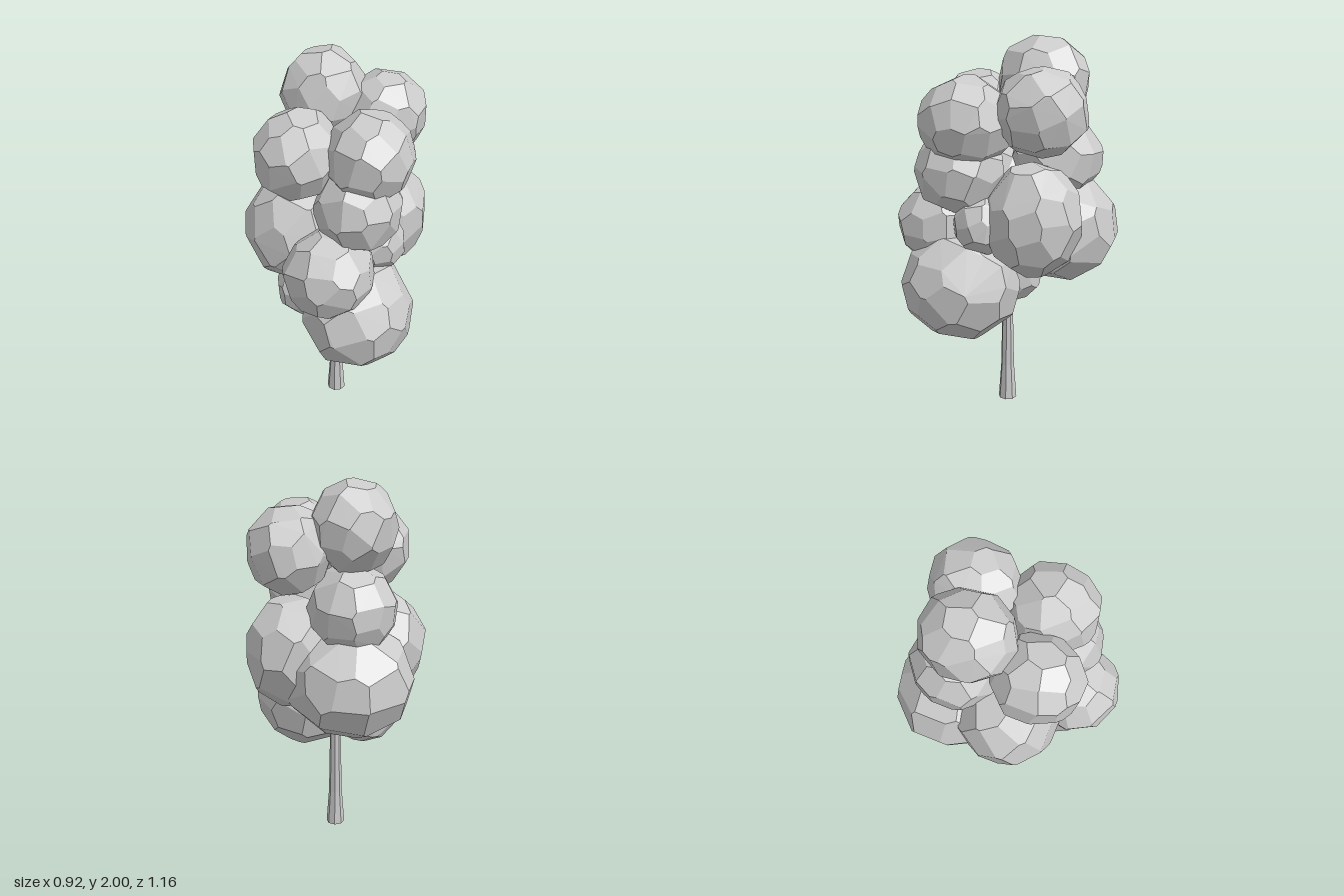
import * as THREE from 'three';
import { ConvexGeometry } from 'three/addons/geometries/ConvexGeometry.js';

const material = new THREE.MeshStandardMaterial({ color: 0xcccccc, flatShading: true });

function seeded(seed) {
  let s = seed * 7919 + 17;
  return () => (s = (s * 16807) % 2147483647) / 2147483647;
}

// Faceted leaf clump: an ellipsoid cut by evenly spread, jittered planes into flat many-sided faces
function clumpGeometry(seed, rx, ry, rz, planes) {
  const rand = seeded(seed);
  const turn = new THREE.Euler(rand() * 6, rand() * 6, rand() * 6);
  const normals = [];
  for (let i = 0; i < planes; i++) {
    const y = 1 - (2 * i + 1) / planes;
    const ring = Math.sqrt(1 - y * y);
    const a = i * Math.PI * (3 - Math.sqrt(5));
    const p = new THREE.Vector3(Math.cos(a) * ring, y, Math.sin(a) * ring);
    p.x += (rand() - 0.5) * 0.28;
    p.y += (rand() - 0.5) * 0.28;
    p.z += (rand() - 0.5) * 0.28;
    normals.push(p.normalize().applyEuler(turn));
  }
  // Each triangle between three plane normals gives the corner where those planes meet
  const corners = [];
  const hull = new ConvexGeometry(normals).attributes.position;
  const tri = new THREE.Triangle();
  for (let i = 0; i < hull.count; i += 3) {
    tri.setFromAttributeAndIndices(hull, i, i + 1, i + 2);
    const corner = tri.getNormal(new THREE.Vector3());
    corner.multiplyScalar(Math.min(0.965 / corner.dot(tri.a), 1.07));
    corners.push(corner.multiply(new THREE.Vector3(rx, ry, rz)));
  }
  return new ConvexGeometry(corners);
}

export function createModel() {
  const tree = new THREE.Group();
  tree.name = 'tree';

  // Trunk: flared foot, then a slender tapering stem
  const trunk = new THREE.Group();
  trunk.name = 'trunk';
  const addStem = (name, rTop, rBottom, y0, y1) => {
    const stem = new THREE.Mesh(new THREE.CylinderGeometry(rTop, rBottom, y1 - y0, 8), material);
    stem.name = name;
    stem.position.set(0.01, (y0 + y1) / 2, -0.003);
    trunk.add(stem);
  };
  addStem('trunkFoot', 0.036, 0.05, 0, 0.2);
  addStem('trunkStem', 0.027, 0.036, 0.2, 0.68);
  tree.add(trunk);

  // Leaf clumps: name, centre x y z, radii x y z
  const clumps = [
    ['topClump', -0.097, 1.772, -0.172, 0.215, 0.225, 0.235],
    ['upperBackClump', 0.215, 1.66, -0.22, 0.21, 0.22, 0.23],
    ['upperFrontClump', -0.15, 1.575, 0.178, 0.215, 0.225, 0.23],
    ['upperSideClump', 0.215, 1.595, 0.165, 0.215, 0.225, 0.235],
    ['middleFrontClump', 0.175, 1.335, 0.21, 0.215, 0.22, 0.23],
    ['middleBackClump', -0.1, 1.37, -0.245, 0.22, 0.22, 0.23],
    ['middleLeftClump', 0.205, 1.105, -0.18, 0.25, 0.29, 0.245],
    ['lowerBackClump', -0.09, 0.995, -0.268, 0.32, 0.285, 0.305],
    ['middleRightClump', -0.205, 1.085, 0.04, 0.255, 0.29, 0.26],
    ['centreFrontClump', 0.052, 1.012, 0.35, 0.225, 0.22, 0.23],
    ['lowestFrontClump', 0.175, 0.715, 0.215, 0.285, 0.285, 0.31],
    ['smallLowerClump', -0.145, 0.69, 0.01, 0.17, 0.16, 0.17],
    ['smallSideClump', 0.235, 1.075, 0.08, 0.155, 0.155, 0.145],
  ];
  const foliage = new THREE.Group();
  foliage.name = 'foliage';
  clumps.forEach(([name, x, y, z, rx, ry, rz], i) => {
    const clump = new THREE.Mesh(clumpGeometry(i + 1, rx, ry, rz, 38), material);
    clump.name = name;
    clump.position.set(x, y, z);
    foliage.add(clump);
  });
  tree.add(foliage);
  return tree;
}
